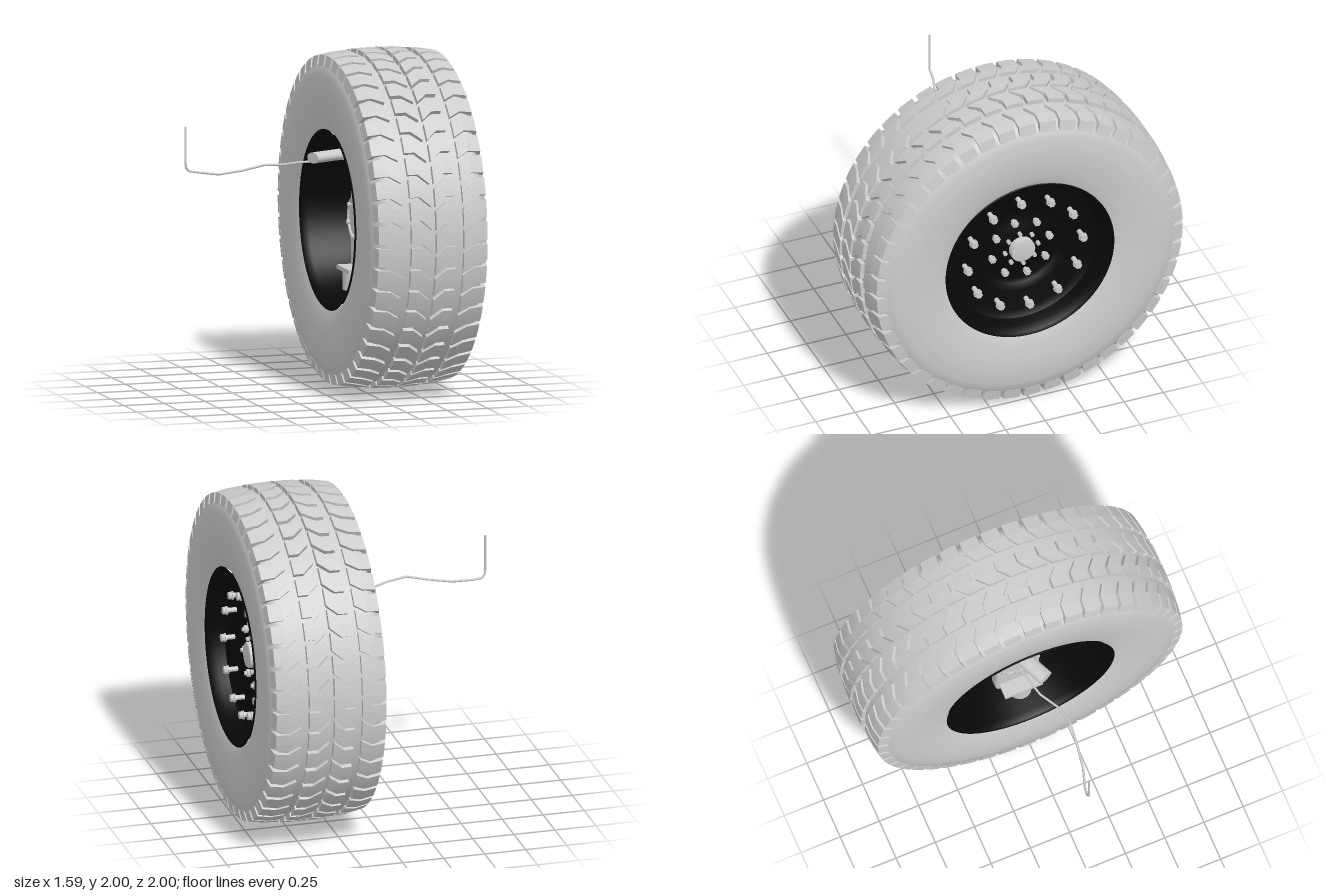
import * as THREE from 'three';
import { RoundedBoxGeometry } from 'three/addons/geometries/RoundedBoxGeometry.js';

const grey = new THREE.MeshStandardMaterial({ color: 0xcccccc });
const greyBoth = new THREE.MeshStandardMaterial({ color: 0xcccccc, side: THREE.DoubleSide });
const black = new THREE.MeshStandardMaterial({ color: 0x080808, side: THREE.DoubleSide });

function add(parent, name, geometry, material = grey, pos = [0, 0, 0]) {
  const m = new THREE.Mesh(geometry, material);
  m.name = name;
  m.position.set(...pos);
  parent.add(m);
  return m;
}

// Surface of revolution about the x axis, from [radius, x] points
function latheX(points, segments = 96) {
  return new THREE.LatheGeometry(points.map(p => new THREE.Vector2(...p)), segments).rotateZ(-Math.PI / 2);
}

// Cylinder along x, between two x values
function rodX(r, x0, x1, sides = 16) {
  return new THREE.CylinderGeometry(r, r, x1 - x0, sides).rotateZ(-Math.PI / 2).translate((x0 + x1) / 2, 0, 0);
}

// One ring of tread blocks. Each section point: [x, outer radius, inner x, inner radius, angle shift]
function treadRow(section, count, gap, phase) {
  const pos = [], pitch = Math.PI * 2 / count, steps = 3;
  const quad = (a, b, c, d) => pos.push(...a, ...b, ...c, ...a, ...c, ...d);
  const at = (x, r, t) => [x, r * Math.sin(t), r * Math.cos(t)];
  const n = section.length - 1;
  for (let k = 0; k < count; k++) {
    const start = phase + k * pitch + gap / 2;
    const angle = (p, j) => start + p[4] + (pitch - gap) * j / steps;
    const top = (i, j) => at(section[i][0], section[i][1], angle(section[i], j));
    const low = (i, j) => at(section[i][2], section[i][3], angle(section[i], j));
    for (let i = 0; i < n; i++) {
      for (let j = 0; j < steps; j++) quad(top(i, j), top(i + 1, j), top(i + 1, j + 1), top(i, j + 1));
      quad(low(i, 0), low(i + 1, 0), top(i + 1, 0), top(i, 0));
      quad(low(i + 1, steps), low(i, steps), top(i, steps), top(i + 1, steps));
    }
    for (let j = 0; j < steps; j++) {
      quad(low(0, j), top(0, j), top(0, j + 1), low(0, j + 1));
      quad(top(n, j), low(n, j), low(n, j + 1), top(n, j + 1));
    }
  }
  const g = new THREE.BufferGeometry();
  g.setAttribute('position', new THREE.Float32BufferAttribute(pos, 3));
  g.computeVertexNormals();
  return g;
}

// Ring of items on the wheel face; the angle is measured from the top towards +z
function ring(parent, name, count, radius, offset, build) {
  for (let i = 0; i < count; i++) {
    const a = offset + i * Math.PI * 2 / count;
    const g = new THREE.Group();
    g.name = name;
    g.position.set(0, radius * Math.cos(a), radius * Math.sin(a));
    build(g);
    parent.add(g);
  }
}

function createTire() {
  const tire = new THREE.Group();
  tire.name = 'tire';
  // Carcass: half section from bead to crown, mirrored
  const half = [[0.525, 0.325], [0.54, 0.336], [0.6, 0.35], [0.68, 0.361], [0.75, 0.364], [0.79, 0.363],
    [0.85, 0.356], [0.91, 0.346], [0.925, 0.318], [0.95, 0.31], [0.966, 0.27], [0.97, 0.1]];
  const profile = [...half.map(([r, x]) => [r, -x]), ...half.slice().reverse()];
  add(tire, 'carcass', latheX(profile, 128));

  // Shoulder and centre tread rows on each side
  const shoulder = [[0.185, 0.991, 0.185, 0.95, -0.045], [0.255, 0.985, 0.255, 0.95, 0],
    [0.335, 0.97, 0.3, 0.93, 0], [0.348, 0.905, 0.31, 0.9, 0]];
  const centre = [[0.013, 1, 0.013, 0.95, -0.06], [0.08, 0.999, 0.08, 0.95, 0], [0.14, 0.996, 0.14, 0.95, 0]];
  const mirror = s => s.map(([x, r, xi, ri, t]) => [-x, r, -xi, ri, t]).reverse();
  for (const [name, s] of [['shoulderBlocks', shoulder], ['centreBlocks', centre]]) {
    add(tire, name, treadRow(s, 46, 0.028, 0.53));
    add(tire, name, treadRow(mirror(s), 46, 0.028, 0.53));
  }
  return tire;
}

function createRim() {
  const rim = new THREE.Group();
  rim.name = 'rim';
  // Barrel with flared lips
  add(rim, 'barrel', latheX([[0.535, -0.34], [0.53, -0.345], [0.515, -0.335], [0.5, -0.3], [0.49, -0.2],
    [0.47, -0.1], [0.47, 0.2], [0.49, 0.29], [0.515, 0.335], [0.53, 0.345], [0.535, 0.34]]), black);
  // Dished wheel face
  add(rim, 'wheelFace', latheX([[0.47, 0.24], [0.43, 0.215], [0.3, 0.205], [0.26, 0.185],
    [0.24, 0.17], [0.14, 0.17], [0.13, 0.2], [0.001, 0.2]]), black);
  ring(rim, 'outerBolt', 12, 0.365, 0.07, g => {
    add(g, 'boltShaft', rodX(0.015, 0.2, 0.29, 12));
    add(g, 'boltWasher', rodX(0.027, 0.265, 0.273));
    add(g, 'boltNut', rodX(0.023, 0.273, 0.295, 6));
  });
  ring(rim, 'innerBolt', 8, 0.185, 0.21, g => {
    add(g, 'boltShaft', rodX(0.013, 0.16, 0.225, 12));
    add(g, 'boltNut', rodX(0.024, 0.19, 0.212, 6));
  });
  // Hub cap and its small bolts
  add(rim, 'hubCap', latheX([[0.077, 0.19], [0.077, 0.235], [0.07, 0.243], [0.001, 0.245]], 32), greyBoth);
  ring(rim, 'hubBolt', 8, 0.105, 0.1, g => add(g, 'hubBoltHead', rodX(0.014, 0.19, 0.22, 6)));
  return rim;
}

// Steering knuckle inside the rim
function createKnuckle() {
  const k = new THREE.Group();
  k.name = 'knuckle';
  add(k, 'knucklePlate', new RoundedBoxGeometry(0.08, 0.7, 0.28, 3, 0.02), grey, [0.31, 0.98, 0]);
  add(k, 'spindle', rodX(0.13, 0.33, 0.6, 32), grey, [0, 1, 0]);
  add(k, 'coverDisc', rodX(0.13, 0.255, 0.28, 32), grey, [0, 1, 0]);
  add(k, 'coverRing', new THREE.TorusGeometry(0.12, 0.012, 8, 32).rotateY(Math.PI / 2), grey, [0.255, 1, 0]);
  ring(k, 'coverBolt', 6, 0.11, 0.2, g => {
    g.position.y += 1;
    add(g, 'coverBoltHead', rodX(0.013, 0.235, 0.26, 6));
  });
  // Lower ball joint and its shelf
  add(k, 'lowerShelf', new THREE.BoxGeometry(0.16, 0.025, 0.24), grey, [0.26, 0.7, 0]);
  add(k, 'lowerJoint', new THREE.CylinderGeometry(0.07, 0.07, 0.11, 24), grey, [0.25, 0.635, 0]);

  // Flattened upper arm reaching out of the wheel
  const arm = add(k, 'upperArm', new THREE.CylinderGeometry(0.048, 0.048, 0.28, 24).rotateZ(Math.PI / 2), grey, [0.105, 1.38, -0.005]);
  arm.rotation.y = 0.42;
  arm.scale.y = 0.68;
  return k;
}

// Thin line running from the wheel to an upturned end
function createLine() {
  const pts = [[0.3, 1.345, -0.1], [0.06, 1.345, -0.05], [-0.09, 1.347, -0.015], [-0.21, 1.35, 0.053],
    [-0.33, 1.358, 0.077], [-0.46, 1.33, 0.065], [-0.6, 1.31, 0.043], [-0.72, 1.323, 0.004],
    [-0.77, 1.332, -0.004], [-0.788, 1.355, 0], [-0.79, 1.39, 0], [-0.79, 1.595, 0]].map(p => new THREE.Vector3(...p));
  const path = new THREE.CurvePath();
  for (let i = 1; i < pts.length; i++) path.add(new THREE.LineCurve3(pts[i - 1], pts[i]));
  return new THREE.TubeGeometry(path, 120, 0.007, 8);
}

export function createModel() {
  const model = new THREE.Group();
  model.name = 'wheelAssembly';
  const wheel = new THREE.Group();
  wheel.name = 'wheel';
  wheel.position.set(0.425, 1, 0);
  wheel.add(createTire(), createRim());
  model.add(wheel, createKnuckle());
  add(model, 'airLine', createLine(), greyBoth);
  return model;
}
